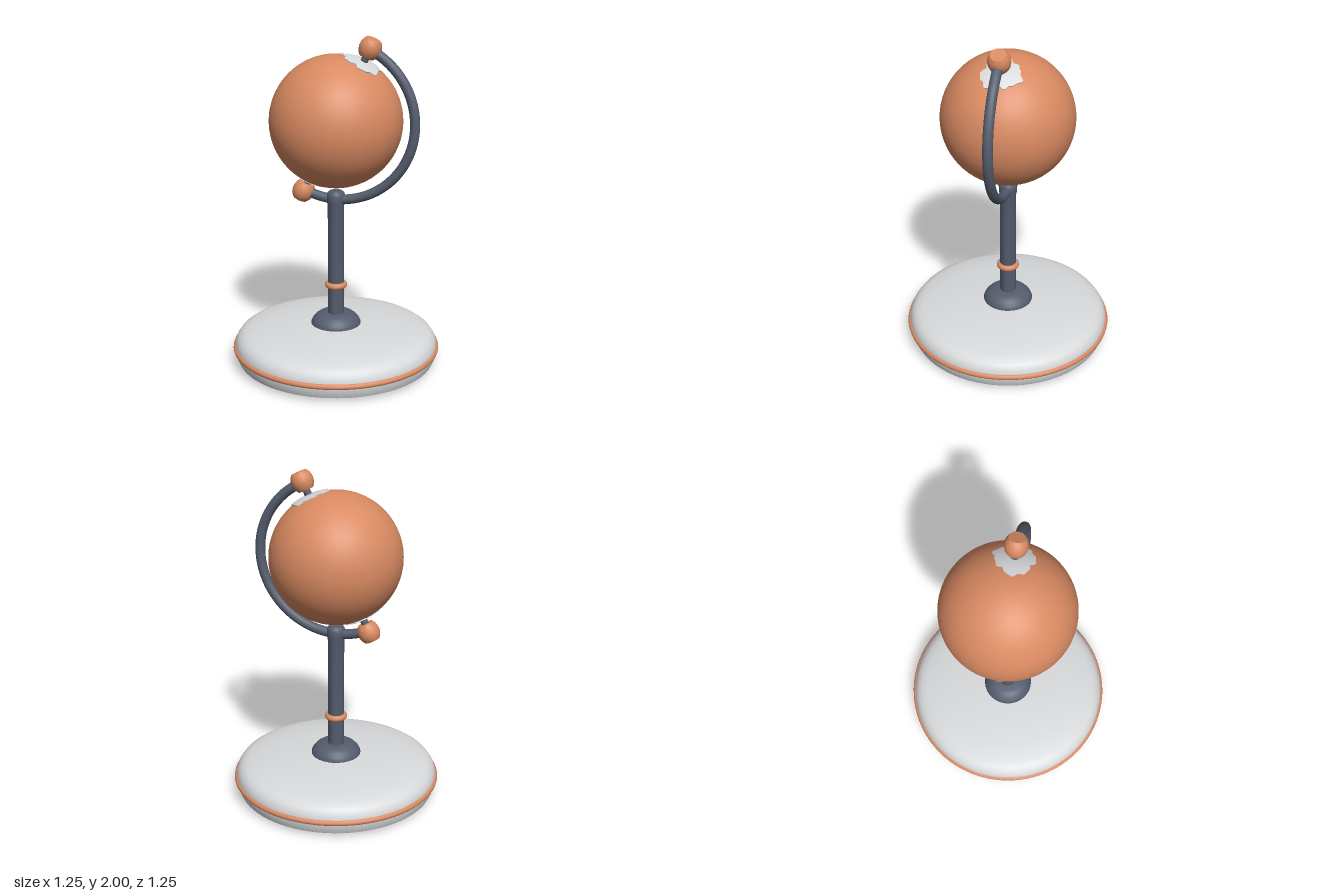
import * as THREE from 'three';
import { toCreasedNormals } from 'three/addons/utils/BufferGeometryUtils.js';

const material = (name, color) => {
  const m = new THREE.MeshStandardMaterial({ color });
  m.name = name;
  return m;
};

export function createModel() {
  const copper = material('copper', 0xd98a62);
  const slate = material('slate', 0x555d6d);
  const white = material('white', 0xd8dadc);

  const model = new THREE.Group();
  model.name = 'deskGlobe';

  const add = (parent, name, geometry, mat, x = 0, y = 0, z = 0) => {
    const mesh = new THREE.Mesh(geometry, mat);
    mesh.name = name;
    mesh.position.set(x, y, z);
    parent.add(mesh);
    return mesh;
  };
  // Turned part from [radius, height] pairs, listed bottom to top
  const lathe = (points, segments = 48, crease = 0.6) =>
    toCreasedNormals(new THREE.LatheGeometry(points.map(([r, y]) => new THREE.Vector2(r, y)), segments), crease);

  // Round base with a copper band and eight feet
  add(model, 'base', lathe([
    [0, 0.025], [0.595, 0.025], [0.606, 0.05], [0.612, 0.08], [0.614, 0.11], [0.608, 0.145],
    [0.59, 0.172], [0.565, 0.19], [0.53, 0.202], [0.43, 0.22], [0.3, 0.234], [0.15, 0.243], [0, 0.245],
  ], 80), white);
  add(model, 'baseBand', new THREE.TorusGeometry(0.61, 0.017, 14, 96).rotateX(Math.PI / 2), copper, 0, 0.102, 0);
  for (let i = 0; i < 8; i++) {
    const a = (i + 0.5) * Math.PI / 4;
    add(model, 'foot', new THREE.CylinderGeometry(0.021, 0.021, 0.03, 16),
      white, 0.488 * Math.cos(a), 0.015, 0.488 * Math.sin(a));
  }

  // Column with its flared hub, ring and rounded top
  add(model, 'hub', lathe([
    [0.15, 0.235], [0.15, 0.25], [0.142, 0.268], [0.125, 0.288], [0.105, 0.303], [0.085, 0.309], [0, 0.309],
  ]), slate);
  add(model, 'column', lathe([
    [0.049, 0.28], [0.049, 0.99], [0.054, 1.015], [0.055, 1.05], [0.05, 1.068], [0.038, 1.079], [0, 1.081],
  ], 32), slate);
  add(model, 'columnRing', new THREE.TorusGeometry(0.049, 0.019, 14, 40).rotateX(Math.PI / 2), copper, 0, 0.49, 0);

  // Tilted assembly: its local y is the globe axis, the arm bows towards local x
  const tilted = new THREE.Group();
  tilted.name = 'tiltedGlobe';
  tilted.position.y = 1.5;
  tilted.rotation.set(0, THREE.MathUtils.degToRad(36), THREE.MathUtils.degToRad(-25));
  model.add(tilted);

  add(tilted, 'globe', new THREE.SphereGeometry(0.39, 72, 48), copper);
  add(tilted, 'arm', new THREE.TorusGeometry(0.472, 0.029, 16, 72, Math.PI).rotateZ(-Math.PI / 2), slate);

  // Polar cap: thin shell with a ragged edge that sinks into the globe
  const capGeometry = (phase) => {
    const rings = 8;
    const g = new THREE.SphereGeometry(0.397, 72, rings, 0, Math.PI * 2, 0, 1);
    const p = g.attributes.position;
    for (let i = 0; i < p.count; i++) {
      const ring = Math.floor(i / 73);
      const a = (i % 73) / 72 * Math.PI * 2;
      const edge = 0.285 + 0.025 * Math.sin(3 * a + phase) + 0.018 * Math.sin(7 * a + 2 * phase)
        + 0.012 * Math.sin(13 * a);
      const theta = edge * Math.min(ring / (rings - 1), 1);
      const r = ring === rings ? 0.385 : 0.397;
      p.setXYZ(i, -r * Math.sin(theta) * Math.cos(a), r * Math.cos(theta), r * Math.sin(theta) * Math.sin(a));
    }
    return toCreasedNormals(g, 0.6);
  };

  // Each pole carries a cap, a pin and a barrel-shaped knob
  const knob = lathe([
    [0, -0.054], [0.046, -0.054], [0.058, -0.036], [0.065, -0.01],
    [0.065, 0.014], [0.058, 0.036], [0.046, 0.054], [0, 0.054],
  ], 32, 0.7);
  ['top', 'bottom'].forEach((side, i) => {
    const pole = new THREE.Group();
    pole.name = side + 'Pole';
    pole.rotation.x = i * Math.PI;
    tilted.add(pole);
    add(pole, side + 'IceCap', capGeometry(1 + i * 2), white);
    add(pole, side + 'Pin', new THREE.CylinderGeometry(0.022, 0.022, 0.08, 20), slate, 0, 0.41, 0);
    add(pole, side + 'Knob', knob, copper, 0, 0.48, 0);
  });

  return model;
}
